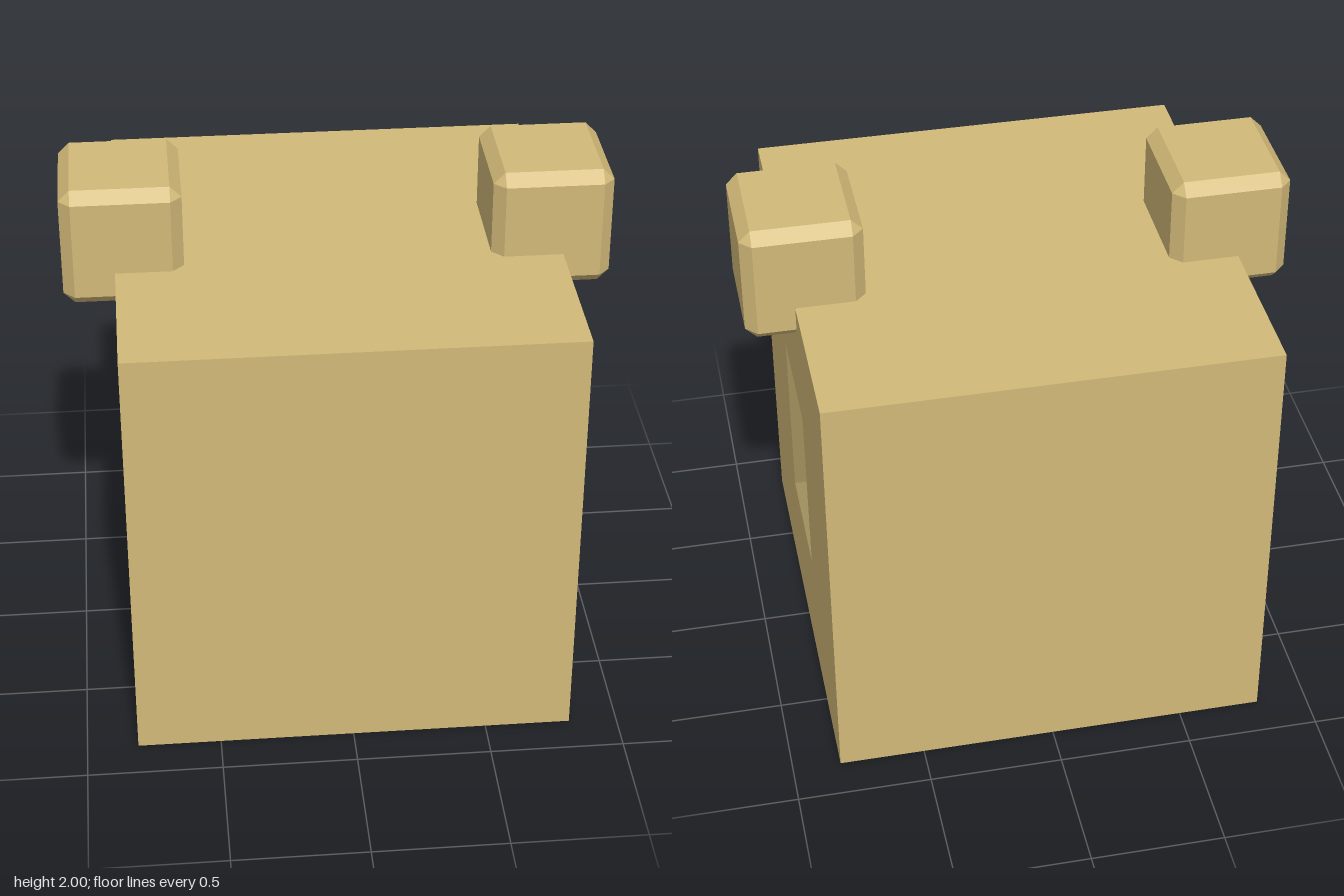
import * as THREE from 'three';
import { ConvexGeometry } from 'three/addons/geometries/ConvexGeometry.js';

// Box with every edge and corner cut off by a flat chamfer
function chamferedBox(w, h, d, c) {
  const points = [];
  for (const sx of [-1, 1]) for (const sy of [-1, 1]) for (const sz of [-1, 1]) {
    const x = w / 2, y = h / 2, z = d / 2;
    points.push(
      new THREE.Vector3(sx * x, sy * (y - c), sz * (z - c)),
      new THREE.Vector3(sx * (x - c), sy * y, sz * (z - c)),
      new THREE.Vector3(sx * (x - c), sy * (y - c), sz * z));
  }
  return new ConvexGeometry(points);
}

// Box without its +x side
function openBox(w, h, d) {
  const geometry = new THREE.BoxGeometry(w, h, d);
  geometry.setIndex(Array.from(geometry.index.array).slice(6));
  geometry.clearGroups();
  return geometry;
}

function rectangle(path, x0, y0, x1, y1) {
  return path.moveTo(x0, y0).lineTo(x1, y0).lineTo(x1, y1).lineTo(x0, y1).closePath();
}

export function createModel() {
  const model = new THREE.Group();
  const tan = new THREE.MeshStandardMaterial({ color: 0xd2b978, flatShading: true });
  const shade = new THREE.MeshStandardMaterial({ color: 0xa18e5c, side: THREE.BackSide });
  const add = (parent, name, geometry, material, x, y, z) => {
    const mesh = new THREE.Mesh(geometry, material);
    mesh.name = name;
    mesh.position.set(x, y, z);
    parent.add(mesh);
    return mesh;
  };

  const left = -0.81, right = 0.82, height = 1.68, halfDepth = 0.85;
  const low = 0.485, high = 1.18, halfNiche = 0.24, nicheDepth = 0.205;

  // Main block, open on the side that holds the niche
  const body = new THREE.Group();
  body.name = 'body';
  model.add(body);
  add(body, 'bodyShell', openBox(right - left, height, halfDepth * 2), tan,
    (left + right) / 2, height / 2, 0);

  // Side wall with the niche opening
  const wall = new THREE.Shape();
  rectangle(wall, -halfDepth, 0, halfDepth, height);
  const opening = new THREE.Path();
  rectangle(opening, -halfNiche, low, halfNiche, high);
  wall.holes.push(opening);
  add(body, 'nicheWall', new THREE.ShapeGeometry(wall), tan, right, 0, 0).rotation.y = Math.PI / 2;

  // Niche lining, seen from inside
  add(body, 'niche', openBox(nicheDepth, high - low, halfNiche * 2), shade,
    right - nicheDepth / 2, (low + high) / 2, 0);

  // Chamfered blocks on the top edges
  for (const [name, s] of [['leftEar', 1], ['rightEar', -1]]) {
    add(model, name, chamferedBox(0.44, 0.455, 0.465, 0.042), tan, s * 0.78, 1.7725, -0.002);
  }
  return model;
}
